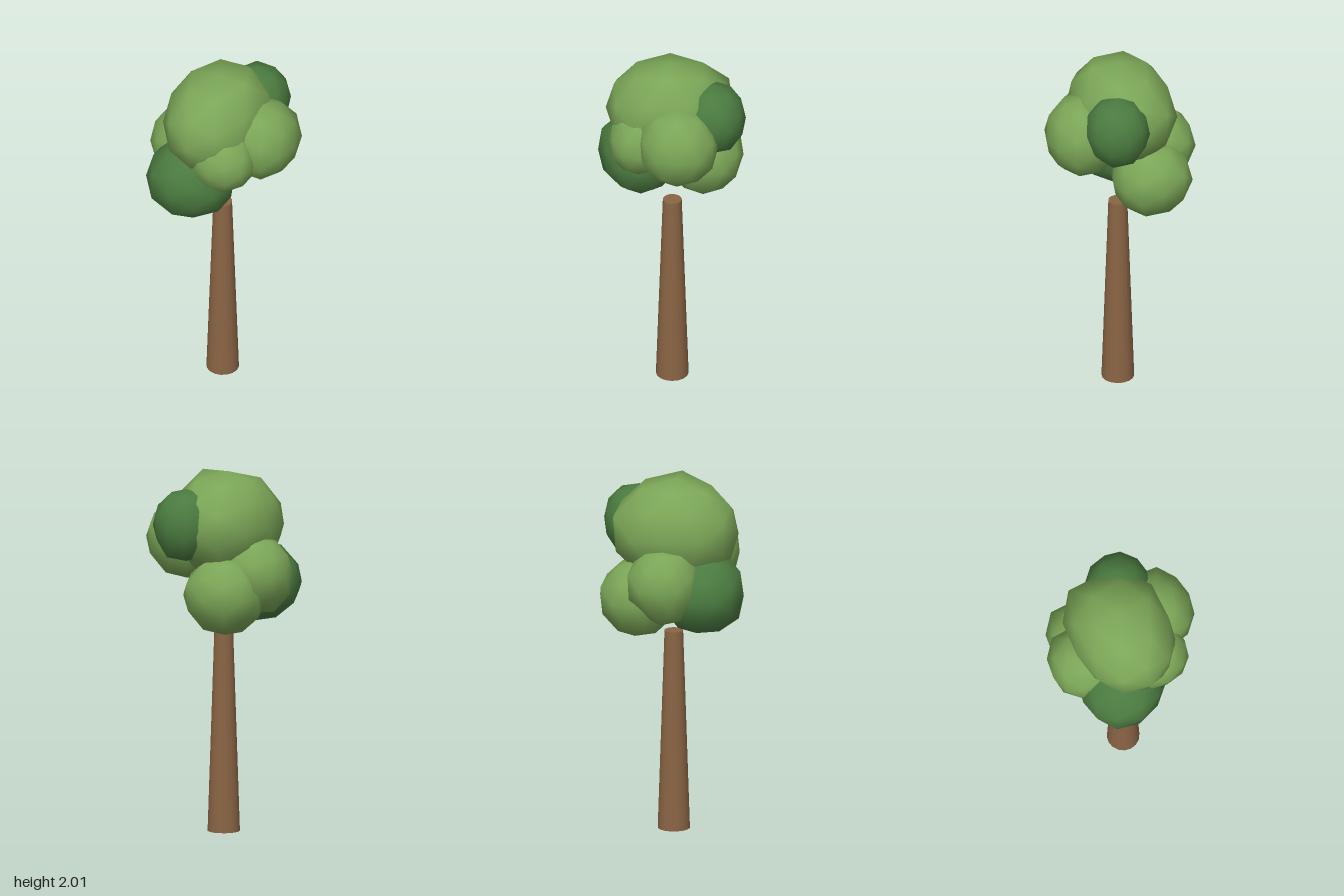
import * as THREE from 'three';
import { mergeVertices } from 'three/addons/utils/BufferGeometryUtils.js';

// Rounded clump: a coarse ball, slightly squared, with bulges that reach the given knob points
function clumpGeometry(centre, radii, knobs) {
  let geo = new THREE.IcosahedronGeometry(1, 1);
  geo.deleteAttribute('normal');
  geo.deleteAttribute('uv');
  geo = mergeVertices(geo, 1e-3);
  const c = new THREE.Vector3(...centre);
  const r = new THREE.Vector3(...radii);
  const bulges = knobs.map((k) => new THREE.Vector3(...k).sub(c).divide(r));
  const pos = geo.attributes.position;
  const v = new THREE.Vector3();
  const power = 2.15;
  for (let i = 0; i < pos.count; i++) {
    v.fromBufferAttribute(pos, i);
    const sum = Math.abs(v.x) ** power + Math.abs(v.y) ** power + Math.abs(v.z) ** power;
    let size = sum ** (-1 / power);
    for (const b of bulges) {
      const near = Math.max(0, 1 - v.angleTo(b) / 0.7);
      size += (b.length() - 1) * near;
    }
    v.multiplyScalar(size).multiply(r);
    pos.setXYZ(i, v.x, v.y, v.z);
  }
  geo.computeVertexNormals();
  return geo;
}

export function createModel() {
  const tree = new THREE.Group();
  tree.name = 'tree';

  const paint = (name, color) => {
    const m = new THREE.MeshStandardMaterial({ color });
    m.name = name;
    return m;
  };
  const bark = paint('bark brown', 0x8a6545);
  const light = paint('light leaf green', 0x7ba657);
  const dark = paint('dark leaf green', 0x4b7b40);

  // Tapered trunk
  const trunk = new THREE.Mesh(new THREE.CylinderGeometry(0.052, 0.09, 1.13, 16), bark);
  trunk.name = 'trunk';
  trunk.position.set(0, 0.565, 0.008);
  tree.add(trunk);

  // Leaf clumps: name, material, centre, radii, knobs
  const clumps = [
    ['crownClump', light, [-0.02, 1.71, 0.025], [0.277, 0.29, 0.35],
      [[-0.15, 1.98, 0], [0.19, 1.98, -0.02], [-0.22, 1.75, -0.29]]],
    ['frontLowerClump', dark, [-0.1, 1.38, 0.18], [0.24, 0.22, 0.22],
      [[-0.04, 1.61, 0.25], [0.127, 1.257, 0.19], [-0.1, 1.51, 0.4], [-0.12, 1.25, 0.39], [-0.24, 1.38, 0.39]]],
    ['leftClump', light, [0.215, 1.625, -0.03], [0.215, 0.232, 0.22],
      [[0.345, 1.63, -0.237]]],
    ['frontSmallClump', light, [0.1, 1.57, 0.185], [0.19, 0.178, 0.172],
      [[0.225, 1.74, 0.2]]],
    ['backUpperClump', dark, [0.09, 1.73, -0.22], [0.18, 0.2, 0.18],
      [[0.1, 1.555, -0.33], [0.25, 1.7, -0.14]]],
    ['backLowerClump', light, [-0.13, 1.35, -0.16], [0.22, 0.22, 0.205],
      [[-0.265, 1.38, -0.365], [0, 1.38, -0.36]]],
    ['rightClump', light, [-0.22, 1.46, 0], [0.21, 0.21, 0.2],
      [[-0.335, 1.25, 0.04], [-0.345, 1.48, -0.2]]],
  ];
  for (const [name, material, centre, radii, knobs] of clumps) {
    const clump = new THREE.Mesh(clumpGeometry(centre, radii, knobs), material);
    clump.name = name;
    clump.position.set(...centre);
    tree.add(clump);
  }
  return tree;
}
